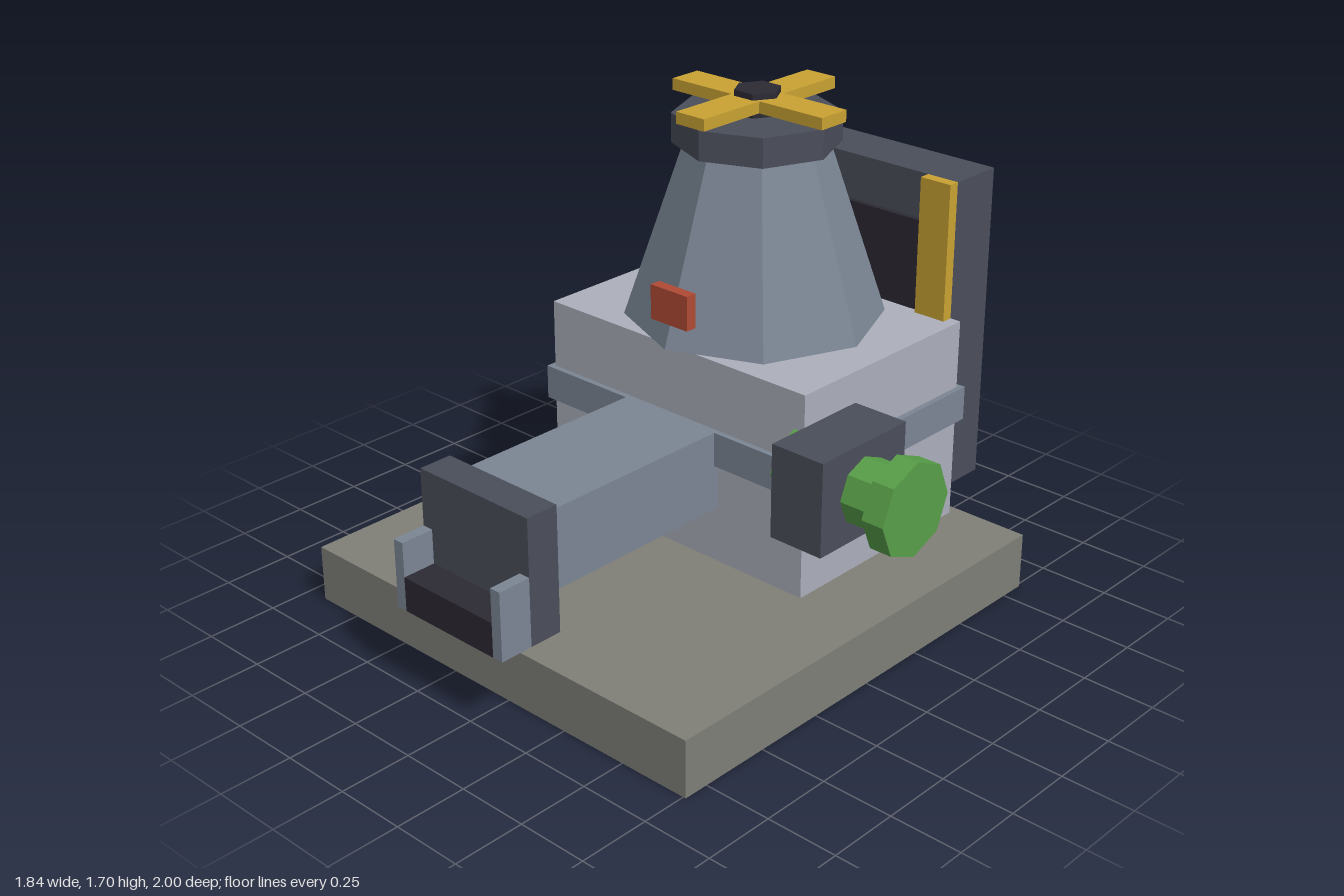
import * as THREE from 'three';

const material = (name, color) => {
  const m = new THREE.MeshStandardMaterial({ color });
  m.name = name;
  m.flatShading = true;
  return m;
};

export function createModel() {
  const stone = material('stone', 0x7f7f78);
  const plaster = material('pale grey', 0xacafbb);
  const steel = material('blue grey', 0x7b8694);
  const slate = material('slate', 0x4a4e5a);
  const dark = material('near black', 0x2c2a33);
  const yellow = material('yellow', 0xc9a233);
  const red = material('red', 0xb04a35);
  const green = material('green', 0x579e48);

  const model = new THREE.Group();
  model.name = 'machine';

  const add = (name, geometry, mat, x, y, z) => {
    const mesh = new THREE.Mesh(geometry, mat);
    mesh.name = name;
    mesh.position.set(x, y, z);
    model.add(mesh);
    return mesh;
  };

  // Box given by its limits on each axis
  const box = (name, mat, [x0, x1], [y0, y1], [z0, z1]) =>
    add(name, new THREE.BoxGeometry(x1 - x0, y1 - y0, z1 - z0), mat,
      (x0 + x1) / 2, (y0 + y1) / 2, (z0 + z1) / 2);

  // Upright faceted cylinder on the tower axis, with corners on +x and -x
  const cx = -0.08, cz = -0.4;
  const tower = (name, mat, rTop, rBottom, y0, y1, sides) => {
    const g = new THREE.CylinderGeometry(rTop, rBottom, y1 - y0, sides);
    g.rotateY(Math.PI / 2);
    add(name, g, mat, cx, (y0 + y1) / 2, cz);
  };

  // Faceted cylinder along x for the side valve
  const pipe = (name, mat, r, x0, x1) => {
    const g = new THREE.CylinderGeometry(r, r, x1 - x0, 8);
    g.rotateZ(-Math.PI / 2);
    add(name, g, mat, (x0 + x1) / 2, 0.68, 0);
  };

  // Base and body
  box('base', stone, [-0.92, 0.76], [0, 0.2], [-0.84, 0.84]);
  box('body', plaster, [-0.64, 0.48], [0.2, 0.92], [-0.8, 0]);
  box('band', steel, [-0.66, 0.5], [0.56, 0.68], [-0.82, 0.02]);

  // Tapered hopper, cap and cross handle
  tower('hopper', steel, 0.24, 0.44, 0.92, 1.52, 8);
  tower('cap', slate, 0.28, 0.28, 1.52, 1.62, 8);
  tower('hub', dark, 0.08, 0.08, 1.62, 1.7, 6);
  box('handleBarX', yellow, [cx - 0.32, cx + 0.32], [1.64, 1.68], [cz - 0.06, cz + 0.06]);
  for (const s of [-1, 1]) {
    const ends = [cz + s * 0.06, cz + s * 0.32].sort((a, b) => a - b);
    box('handleBarZ', yellow, [cx - 0.06, cx + 0.06], [1.64, 1.68], ends);
  }
  box('indicator', red, [-0.16, 0], [1, 1.12], [-0.02, 0.02]);

  // Back panel with recess plate and yellow side strips
  box('backPanel', slate, [-0.6, 0.44], [0.28, 1.4], [-1, -0.8]);
  box('backPlate', dark, [-0.48, 0.32], [0.9, 1.24], [-0.8, -0.78]);
  for (const s of [-1, 1]) {
    const x = cx + s * 0.46;
    box('backStrip', yellow, [x - 0.06, x + 0.06], [0.9, 1.4], [-0.8, -0.76]);
  }

  // Front chute with collar and tray
  box('chute', steel, [-0.28, 0.12], [0.4, 0.68], [0, 0.76]);
  box('chuteCollar', slate, [-0.32, 0.16], [0.28, 0.72], [0.76, 0.88]);
  box('tray', dark, [-0.28, 0.12], [0.28, 0.4], [0.88, 1]);
  for (const s of [-1, 1]) {
    const x = cx + s * 0.22;
    box('trayCheek', steel, [x - 0.02, x + 0.02], [0.28, 0.52], [0.88, 1]);
  }

  // Side valve
  pipe('valvePipe', green, 0.113, 0.44, 0.84);
  pipe('valveWheel', green, 0.16, 0.84, 0.92);
  box('valveBlock', slate, [0.52, 0.72], [0.52, 0.84], [-0.2, 0.2]);

  return model;
}
